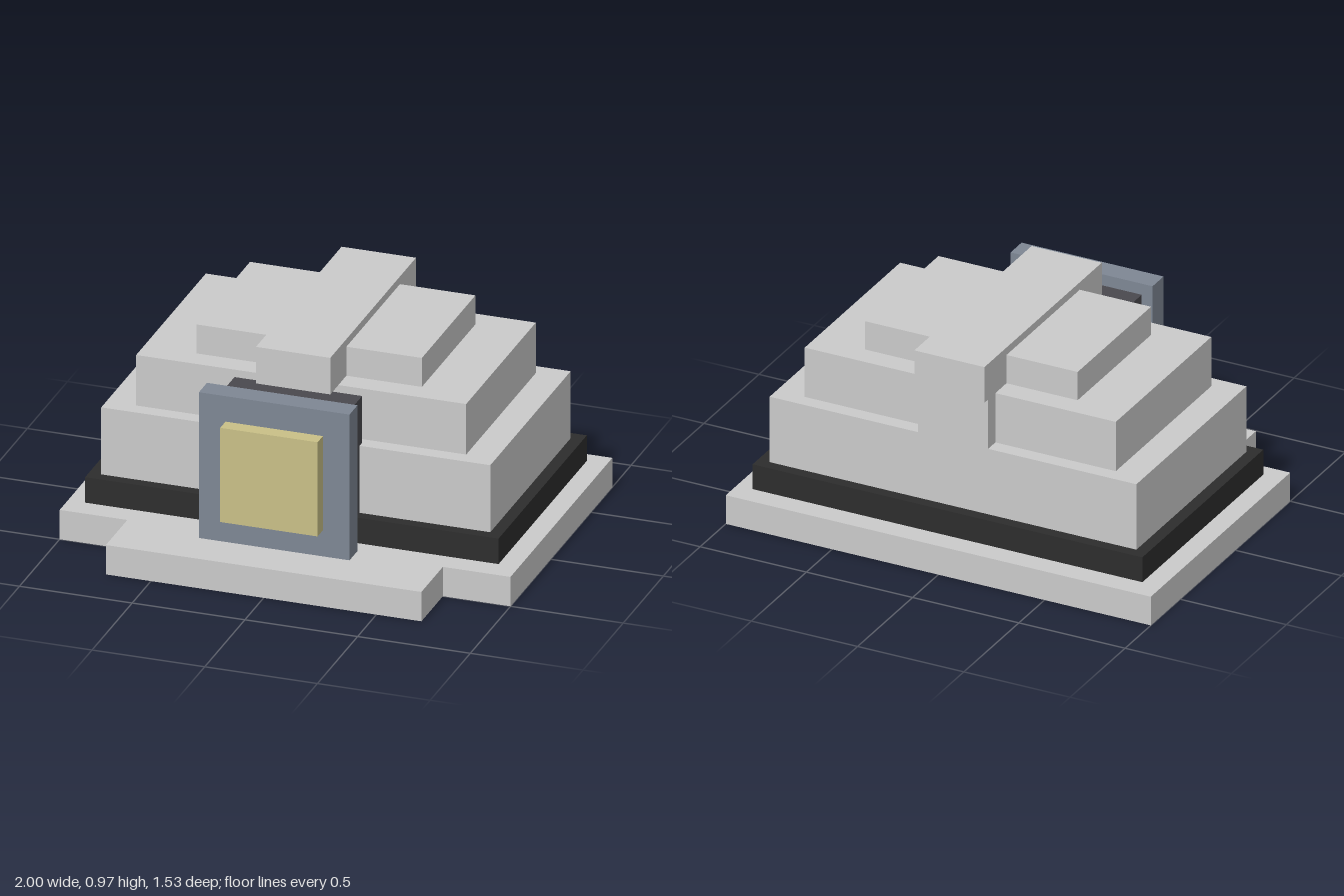
import * as THREE from 'three';

const material = (name, color) => {
  const m = new THREE.MeshStandardMaterial({ color });
  m.name = name;
  return m;
};

export function createModel() {
  const model = new THREE.Group();
  model.name = 'steppedBuilding';

  const stone = material('paleStone', 0xcacaca);
  const black = material('blackTrim', 0x2d2d2d);
  const charcoal = material('charcoal', 0x4a494e);
  const slate = material('slateBlue', 0x7e8794);
  const sand = material('sandYellow', 0xc9c087);

  // Box centred on x, given its half width and its y and z limits
  const block = (name, mat, halfWidth, y0, y1, z0, z1) => {
    const mesh = new THREE.Mesh(new THREE.BoxGeometry(2 * halfWidth, y1 - y0, z1 - z0), mat);
    mesh.position.set(0, (y0 + y1) / 2, (z0 + z1) / 2);
    mesh.name = name;
    model.add(mesh);
  };

  // T-shaped base slab with a narrower front step (shape y becomes -z)
  const outline = new THREE.Shape([
    [-1, 0.767], [-1, -0.5], [-0.7, -0.5], [-0.7, -0.767],
    [0.7, -0.767], [0.7, -0.5], [1, -0.5], [1, 0.767],
  ].map(([x, y]) => new THREE.Vector2(x, y)));
  const slab = new THREE.ExtrudeGeometry(outline, { depth: 0.135, bevelEnabled: false });
  slab.rotateX(-Math.PI / 2);
  const base = new THREE.Mesh(slab, stone);
  base.name = 'base';
  model.add(base);

  // Stepped tiers and the dark band around the lowest one
  block('lowerTier', stone, 0.863, 0.135, 0.57, -0.633, 0.367);
  block('band', black, 0.917, 0.145, 0.262, -0.683, 0.416);
  block('middleTier', stone, 0.732, 0.57, 0.802, -0.567, 0.3);
  block('upperTier', stone, 0.5, 0.802, 0.935, -0.466, 0.2);

  // Roof beam with its rear pillar
  block('roofBeam', stone, 0.165, 0.802, 0.97, -0.666, 0.4);
  block('rearPillar', stone, 0.165, 0.57, 0.802, -0.633, -0.567);

  // Projecting entrance
  block('entranceNeck', charcoal, 0.283, 0.22, 0.785, 0.335, 0.535);
  block('entranceFrame', slate, 0.334, 0.167, 0.837, 0.535, 0.635);
  block('entrancePanel', sand, 0.216, 0.287, 0.72, 0.635, 0.701);

  return model;
}
